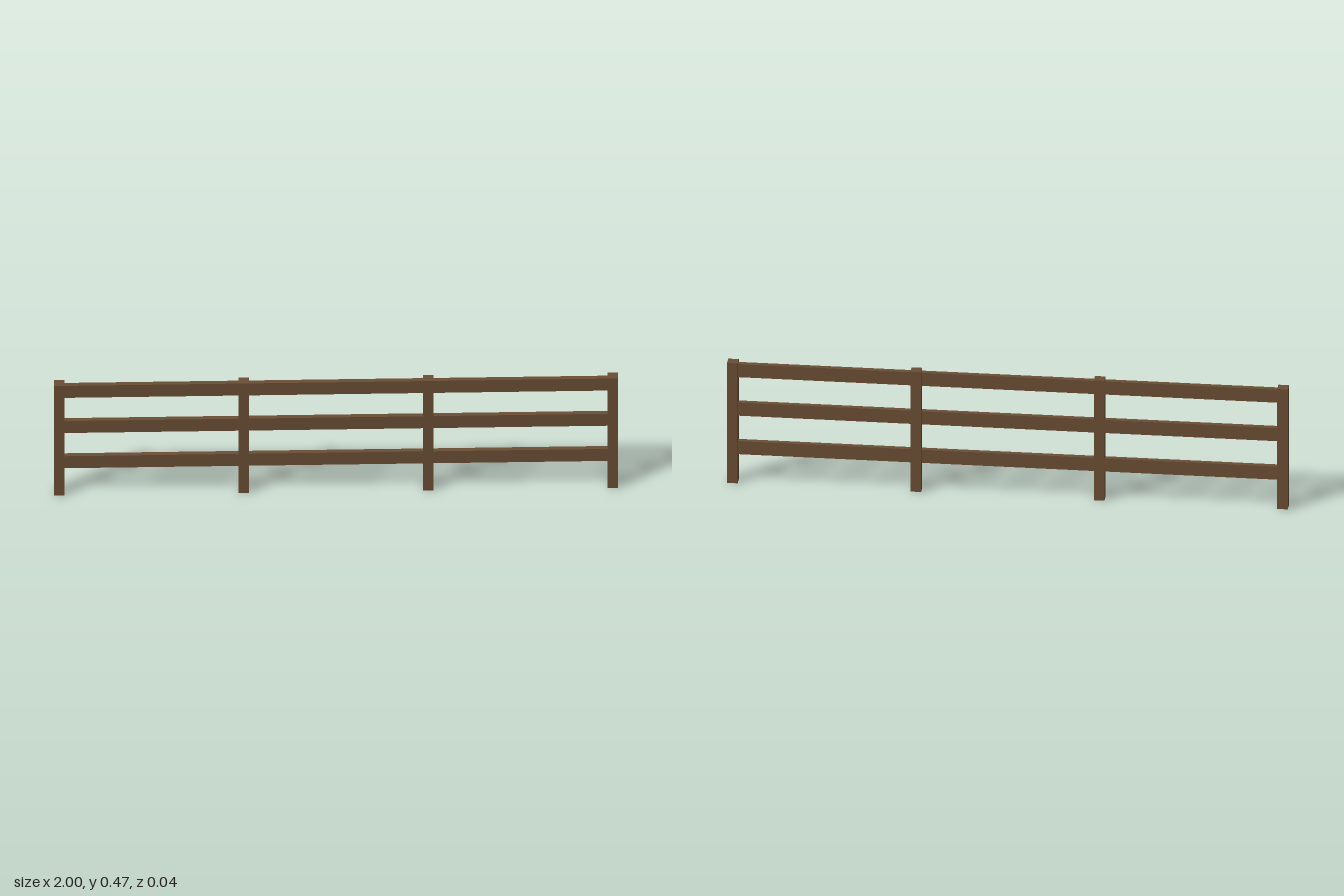
import * as THREE from 'three';

const POST = { size: 0.038, height: 0.467, spacing: 0.654 };
const RAIL = { height: 0.051, depth: 0.019, centres: [0.135, 0.285, 0.435] };

export function createModel() {
  const fence = new THREE.Group();
  fence.name = 'fence';

  const wood = new THREE.MeshStandardMaterial({ color: 0x6b4f35 });
  wood.name = 'brownWood';

  const addBox = (name, w, h, d, x, y) => {
    const mesh = new THREE.Mesh(new THREE.BoxGeometry(w, h, d), wood);
    mesh.name = name;
    mesh.position.set(x, y, 0);
    fence.add(mesh);
  };

  // Four evenly spaced square posts
  for (let i = 0; i < 4; i++) {
    const x = (i - 1.5) * POST.spacing;
    addBox(`post${i + 1}`, POST.size, POST.height, POST.size, x, POST.height / 2);
  }

  // Three rails in each bay, butted between the posts
  const railLength = POST.spacing - POST.size;
  for (let bay = 0; bay < 3; bay++) {
    RAIL.centres.forEach((y, row) => {
      addBox(`rail${bay + 1}_${row + 1}`, railLength, RAIL.height, RAIL.depth, (bay - 1) * POST.spacing, y);
    });
  }

  return fence;
}
